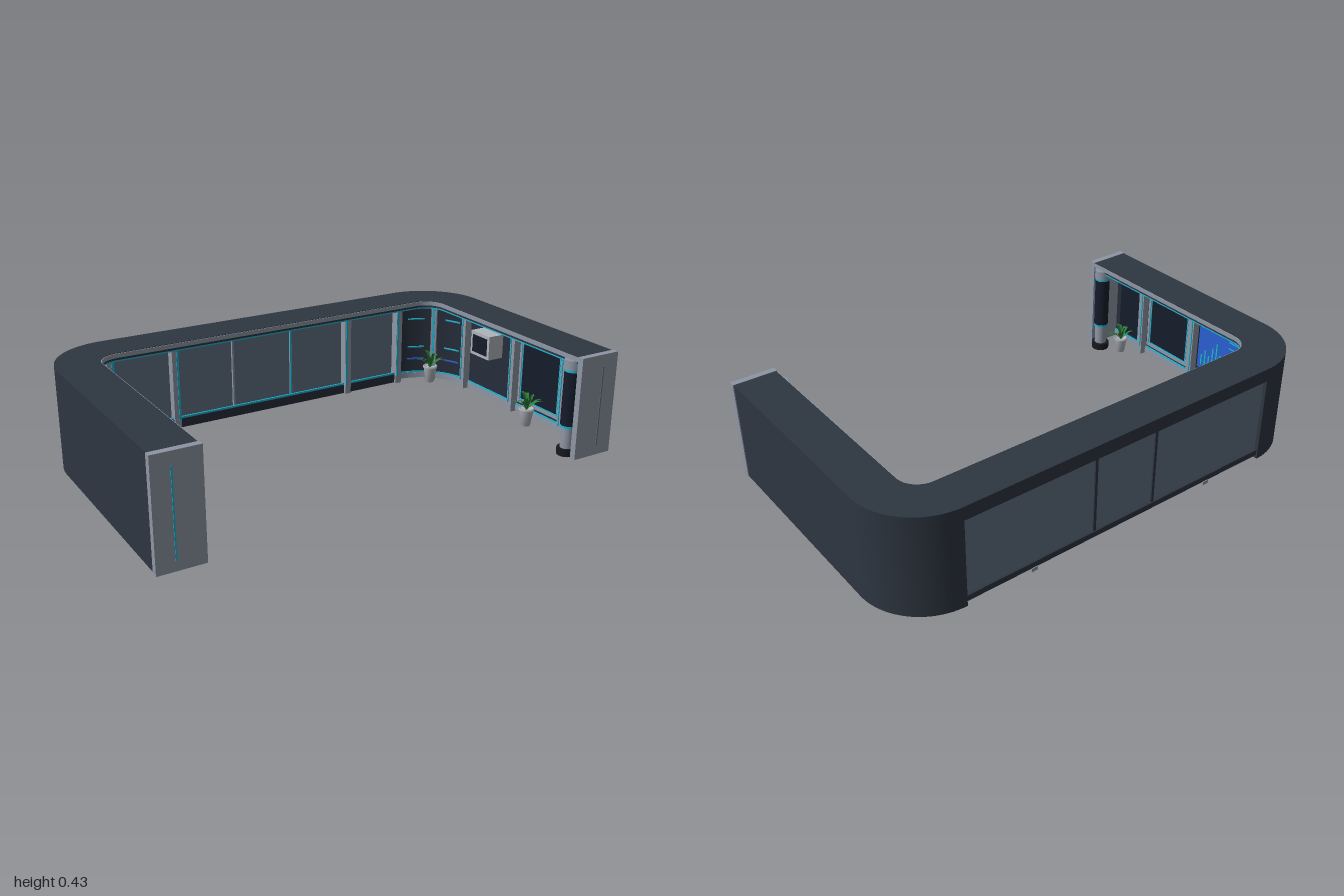
import * as THREE from 'three';
import { toCreasedNormals } from 'three/addons/utils/BufferGeometryUtils.js';

const mat = (name, color, side = THREE.FrontSide) => {
  const m = new THREE.MeshStandardMaterial({ color, side });
  m.name = name;
  return m;
};

export function createModel() {
  const root = new THREE.Group();
  root.name = 'curvedPavilion';
  const shell = mat('dark shell', 0x2e3641);
  const lining = mat('interior wall', 0x262d3a);
  const metal = mat('grey metal', 0x8e96a4);
  const glass = mat('slate glass', 0x5f7082);
  const cyan = mat('cyan light', 0x1fb4d2);
  const blue = mat('blue screen', 0x2a5fd0);
  const navy = mat('navy panel', 0x141c2a);
  const pale = mat('pale pot', 0xb0b5bc);
  const green = mat('leaf green', 0x2f7a3a, THREE.DoubleSide);
  const black = mat('black base', 0x16191f);

  const add = (name, geo, material, x = 0, y = 0, z = 0, parent = root) => {
    const m = new THREE.Mesh(geo, material);
    m.name = name;
    m.position.set(x, y, z);
    parent.add(m);
    return m;
  };
  const box = (name, material, w, h, d, x, y, z, parent) =>
    add(name, new THREE.BoxGeometry(w, h, d), material, x, y, z, parent);

  // Plan outline: straight arm, rounded corner, straight back; d is the inset
  const CX = 0.725, CZ = -0.325, R = 0.27, FRONT = 0.565;
  const halfPath = (d, s) => {
    const pts = [new THREE.Vector2(s * (CX + R - d), -FRONT)];
    for (let i = 0; i <= 24; i++) {
      const a = (i / 24) * Math.PI / 2;
      pts.push(new THREE.Vector2(s * (CX + (R - d) * Math.cos(a)), -CZ + (R - d) * Math.sin(a)));
    }
    return pts;
  };
  const fullPath = d => [...halfPath(d, 1), ...halfPath(d, -1).reverse()];
  const band = (name, material, path, d0, d1, y0, y1) => {
    const shape = new THREE.Shape([...path(d0), ...path(d1).reverse()]);
    let geo = new THREE.ExtrudeGeometry(shape, { depth: y1 - y0, bevelEnabled: false });
    geo = toCreasedNormals(geo.rotateX(-Math.PI / 2), 0.3);
    return add(name, geo, material, 0, y0, 0);
  };

  // Roof with its inner trim and light line
  band('roof', shell, fullPath, 0, 0.178, 0.4, 0.43);
  band('roofTrim', metal, fullPath, 0.178, 0.182, 0.41, 0.428);
  band('roofLight', cyan, fullPath, 0.17, 0.178, 0.394, 0.4);
  band('innerRail', metal, fullPath, 0.026, 0.045, 0.38, 0.4);

  // Plant with arching leaves in a tapered pot
  const plant = (name, x, z, s) => {
    const g = new THREE.Group();
    g.name = name;
    g.position.set(x, 0, z);
    g.scale.setScalar(s);
    root.add(g);
    const profile = [[0, 0], [0.02, 0], [0.031, 0.07], [0.034, 0.07], [0.034, 0.08], [0.028, 0.08], [0.027, 0.072], [0, 0.072]];
    add('pot', new THREE.LatheGeometry(profile.map(p => new THREE.Vector2(...p)), 20), pale, 0, 0, 0, g);
    for (let i = 0; i < 14; i++) {
      const reach = 0.035 + 0.012 * (i % 4), top = 0.15 - 0.012 * (i % 4);
      const geo = new THREE.PlaneGeometry(0.016, 1, 2, 5);
      const p = geo.attributes.position;
      for (let k = 0; k < p.count; k++) {
        const t = p.getY(k) + 0.5;
        p.setXYZ(k, p.getX(k) * Math.sin(Math.PI * (0.12 + 0.88 * t)),
          0.07 + (top - 0.07) * Math.sin(t * 2), reach * t);
      }
      geo.computeVertexNormals();
      add('leaf', geo, green, 0, 0, 0, g).rotation.y = i * 2.4;
    }
  };

  for (const s of [1, -1]) {
    const side = s > 0 ? 'left' : 'right';
    const path = d => halfPath(d, s);
    band(side + 'Wall', shell, path, 0, 0.02, 0, 0.4);
    band(side + 'Lining', lining, path, 0.02, 0.026, 0.002, 0.4);
    band(side + 'Skirting', metal, path, 0.026, 0.034, 0.004, 0.03);
    band(side + 'SkirtingLight', cyan, path, 0.026, 0.032, 0.03, 0.036);

    // End cap with a vertical slot
    box(side + 'EndCap', metal, 0.186, 0.432, 0.027, s * 0.906, 0.216, 0.578);
    box(side + 'EndSlot', s > 0 ? glass : cyan, 0.006, 0.34, 0.004, s * 0.925, 0.21, 0.592);

    // Banded post beside the end cap
    const post = new THREE.Group();
    post.name = side + 'Post';
    post.position.set(s * 0.83, 0, 0.522);
    root.add(post);
    const rings = [
      ['postBase', black, 0.04, 0, 0.03], ['postFoot', metal, 0.027, 0.03, 0.12],
      ['lowerRing', cyan, 0.034, 0.12, 0.13], ['postCore', navy, 0.033, 0.13, 0.36],
      ['upperRing', cyan, 0.034, 0.36, 0.37], ['postHead', metal, 0.036, 0.37, 0.41]];
    for (const [name, m, r, y0, y1] of rings)
      add(name, new THREE.CylinderGeometry(r, r, y1 - y0, 24), m, 0, (y0 + y1) / 2, 0, post);

    // Pillars along the arm
    for (const z of [0.36, 0.03, -0.32]) {
      box(side + 'Pillar', metal, 0.035, 0.4, 0.03, s * 0.952, 0.2, z);
      box(side + 'PillarLight', cyan, 0.004, 0.34, 0.005, s * 0.933, 0.21, z - 0.006);
    }

    // Framed display panel and plain panel
    const px = s * 0.964;
    box(side + 'Panel', navy, 0.008, 0.27, 0.24, px, 0.2, 0.195);
    for (const e of [1, -1]) {
      box(side + 'FrameRail', metal, 0.014, 0.014, 0.27, px, 0.2 + e * 0.142, 0.195);
      box(side + 'FrameStile', metal, 0.014, 0.29, 0.012, px, 0.2, 0.195 + e * 0.13);
      box(side + 'FrameLightRail', cyan, 0.012, 0.006, 0.24, px, 0.2 + e * 0.131, 0.195);
      box(side + 'FrameLightStile', cyan, 0.012, 0.265, 0.006, px, 0.2, 0.195 + e * 0.119);
    }
    box(side + 'EndPanel', navy, 0.008, 0.3, 0.14, px, 0.2, 0.46);

    // Corner pillar and short wall lights
    const corner = new THREE.Group();
    corner.name = side + 'Corner';
    corner.position.set(s * CX, 0, CZ);
    root.add(corner);
    const onArc = (name, m, w, h, t, r, a, y) => {
      const b = box(name, m, t, h, w, s * r * Math.cos(a), y, -r * Math.sin(a), corner);
      b.rotation.y = s * a;
    };
    onArc('cornerPillar', metal, 0.026, 0.4, 0.03, 0.23, Math.PI / 4, 0.2);
    onArc('cornerLight', cyan, 0.01, 0.36, 0.004, 0.214, Math.PI / 4, 0.2);
    for (const a of [0.4, 1.15])
      for (const y of [0.1, 0.16, 0.3])
        onArc('wallLight', y < 0.12 ? blue : cyan, 0.08, 0.006, 0.006, 0.24, a, y);
    plant(side + 'CornerPlant', s * 0.86, -0.47, 1);
  }
  plant('rightArmPlant', -0.88, 0.43, 0.9);
  plant('leftArmPlant', 0.89, 0.2, 1);

  // Blue screen with a bar chart on the right arm
  box('screenFrame', black, 0.01, 0.29, 0.3, -0.964, 0.225, -0.145);
  box('screen', blue, 0.008, 0.27, 0.28, -0.958, 0.225, -0.145);
  [0.05, 0.08, 0.06, 0.11, 0.14, 0.09].forEach((h, i) =>
    box('chartBar', cyan, 0.004, h, 0.008, -0.953, 0.11 + h / 2, -0.03 - i * 0.022));
  for (let i = 0; i < 3; i++)
    box('chartLine', cyan, 0.004, 0.004, 0.07, -0.953, 0.26 + i * 0.03, -0.22);

  // Wall console on the left arm
  box('console', pale, 0.08, 0.11, 0.13, 0.93, 0.27, -0.14);
  box('consoleScreen', navy, 0.004, 0.08, 0.1, 0.889, 0.27, -0.14);

  // Glazed back wall
  box('backGlass', glass, 1.45, 0.34, 0.008, 0, 0.21, -0.575);
  box('backHeader', shell, 1.45, 0.03, 0.02, 0, 0.388, -0.585);
  box('backSill', shell, 1.45, 0.025, 0.018, 0, 0.0275, -0.58);
  box('backPlinth', lining, 1.45, 0.04, 0.03, 0, 0.021, -0.555);
  box('plinthLight', cyan, 1.4, 0.008, 0.008, 0, 0.046, -0.545);
  box('backRail', metal, 1.42, 0.02, 0.03, 0, 0.388, -0.555);
  for (const x of [-0.715, -0.43, 0.43, 0.715]) {
    box('backColumn', metal, 0.03, 0.4, 0.04, x, 0.2, -0.548);
    box('columnLight', cyan, 0.009, 0.34, 0.004, x - Math.sign(x) * 0.009, 0.21, -0.527);
  }
  for (const x of [-0.145, 0.145]) {
    box('mullion', metal, 0.008, 0.335, 0.012, x, 0.21, -0.566);
    box('outerMullion', shell, 0.012, 0.34, 0.008, x, 0.21, -0.581);
  }
  box('mullionLight', cyan, 0.007, 0.335, 0.004, 0.142, 0.21, -0.559);
  for (const x of [-0.43, 0.43])
    box('columnFoot', metal, 0.028, 0.016, 0.04, x, 0.008, -0.572);

  return root;
}
